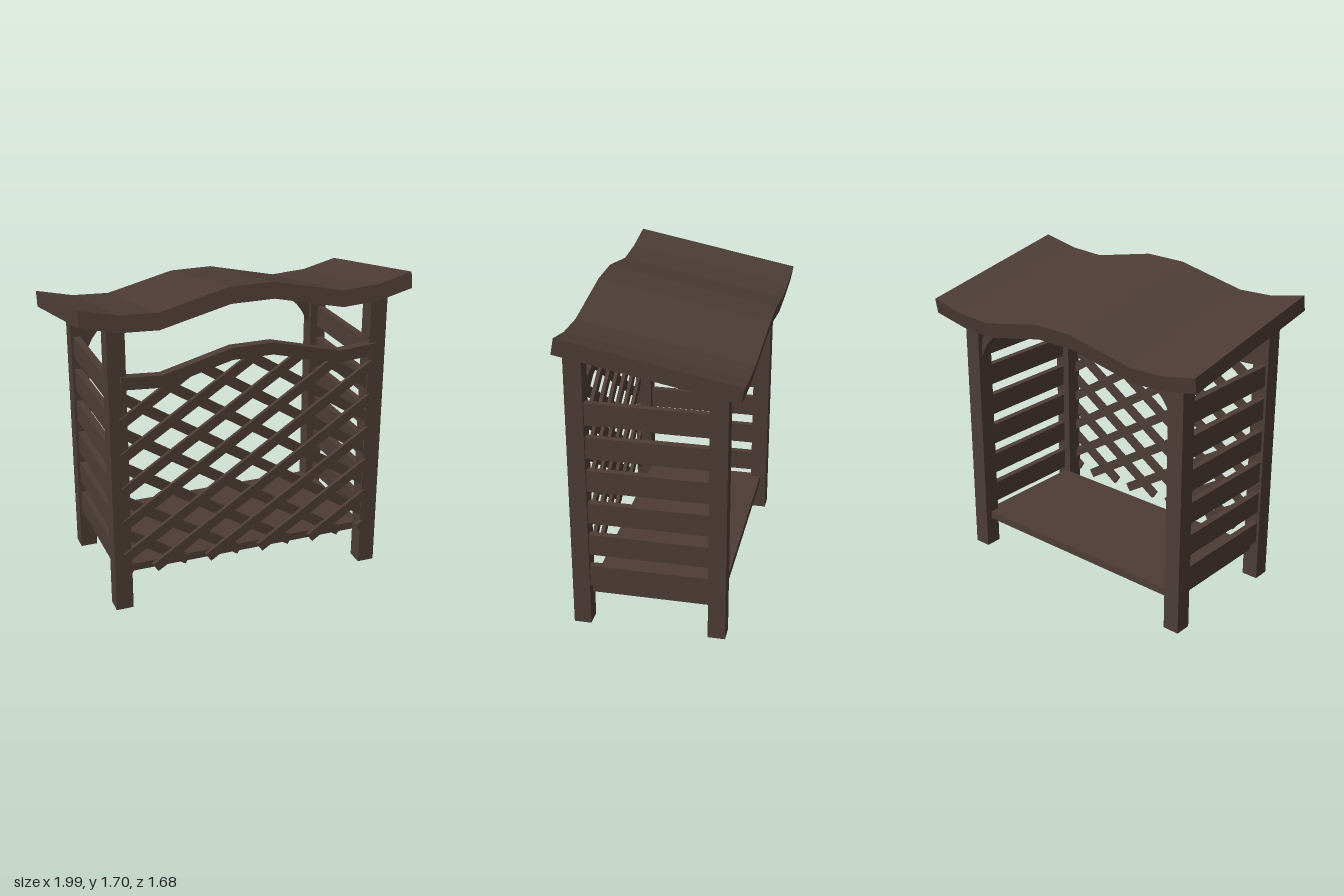
import * as THREE from 'three';

const wood = new THREE.MeshStandardMaterial({ color: 0x4d3c35 });
wood.name = 'dark brown wood';

// half profile of the wavy line: [distance from the middle, height], mirrored by wave()
const roofHalf = [[0.116, 0.03], [0.49, -0.055], [0.69, -0.045], [0.886, 0]];
const archHalf = [[0.11, 1.39], [0.48, 1.295], [0.69, 1.31]];

function wave(half) {
  return [...half.map(([x, y]) => [-x, y]).reverse(), ...half];
}

// strip of constant height below a line, extruded towards +z
function band(line, thickness, depth) {
  const lower = line.map(([x, y]) => [x, y - thickness]).reverse();
  const shape = new THREE.Shape([...line, ...lower].map(([x, y]) => new THREE.Vector2(x, y)));
  return new THREE.ExtrudeGeometry(shape, { depth, bevelEnabled: false });
}

function heightAt(line, x) {
  for (let i = 1; i < line.length; i++) {
    const [x0, y0] = line[i - 1], [x1, y1] = line[i];
    if (x <= x1) return y0 + (y1 - y0) * (x - x0) / (x1 - x0);
  }
  return line[line.length - 1][1];
}

export function createModel() {
  const model = new THREE.Group();
  model.name = 'gardenArbour';
  const arbour = new THREE.Group();
  arbour.name = 'arbour';
  arbour.rotation.y = Math.PI / 6;
  model.add(arbour);

  const add = (name, geometry, x = 0, y = 0, z = 0) => {
    const mesh = new THREE.Mesh(geometry, wood);
    mesh.name = name;
    mesh.position.set(x, y, z);
    arbour.add(mesh);
    return mesh;
  };
  const box = (name, w, h, d, x, y, z) => add(name, new THREE.BoxGeometry(w, h, d), x, y, z);

  // wavy roof, sloping down to the back
  const roofDepth = 0.918;
  const roofGeometry = band(wave(roofHalf), 0.085, roofDepth);
  roofGeometry.translate(0, 0, -roofDepth);
  add('roof', roofGeometry, 0, 1.67, 0.442).rotation.x = -0.188;

  // floor board
  box('floorBoard', 1.4, 0.042, 0.69, 0, 0.187, 0.015);

  for (const side of [-1, 1]) {
    // posts
    box('frontPost', 0.092, 1.555, 0.092, side * 0.706, 0.7775, 0.4);
    box('backPost', 0.092, 1.41, 0.092, side * 0.706, 0.705, -0.32);

    // side wall slats
    for (let i = 0; i < 6; i++) {
      box('sideSlat', 0.036, 0.118, 0.66, side * 0.72, 0.29 + i * 0.186, 0.04);
    }

    // curved braces between back posts and roof
    const s = new THREE.Shape();
    s.moveTo(0.67, 1.14);
    s.quadraticCurveTo(0.635, 1.32, 0.45, 1.37);
    s.lineTo(0.45, 1.41);
    s.quadraticCurveTo(0.645, 1.38, 0.67, 1.24);
    s.closePath();
    const brace = new THREE.ExtrudeGeometry(s, { depth: 0.04, bevelEnabled: false, curveSegments: 6 });
    brace.translate(0, 0, -0.02);
    if (side < 0) brace.rotateY(Math.PI);
    add('backBrace', brace, 0, 0, -0.32);
  }

  // wavy rail over the lattice
  const arch = wave(archHalf);
  add('archRail', band(arch, 0.065, 0.05), 0, 0, 0.412);

  // two crossing layers of lattice slats, cut off at the frame
  const slope = 0.645, spacing = 0.294, angle = Math.atan(slope);
  for (const dir of [1, -1]) {
    for (let i = -8; i <= 8; i++) {
      const offset = i * spacing;
      let first = null, last = null;
      for (let x = -0.69; x <= 0.69; x += 0.005) {
        const y = 0.75 + dir * slope * (x - offset);
        if (y > 0.215 && y < heightAt(arch, x) - 0.035) {
          if (first === null) first = x;
          last = x;
        }
      }
      if (first === null || last - first < 0.04) continue;
      const mid = (first + last) / 2;
      const length = (last - first) / Math.cos(angle);
      box('latticeSlat', length, 0.052, 0.02, mid, 0.75 + dir * slope * (mid - offset),
        dir > 0 ? 0.446 : 0.426).rotation.z = dir * angle;
    }
  }

  return model;
}
